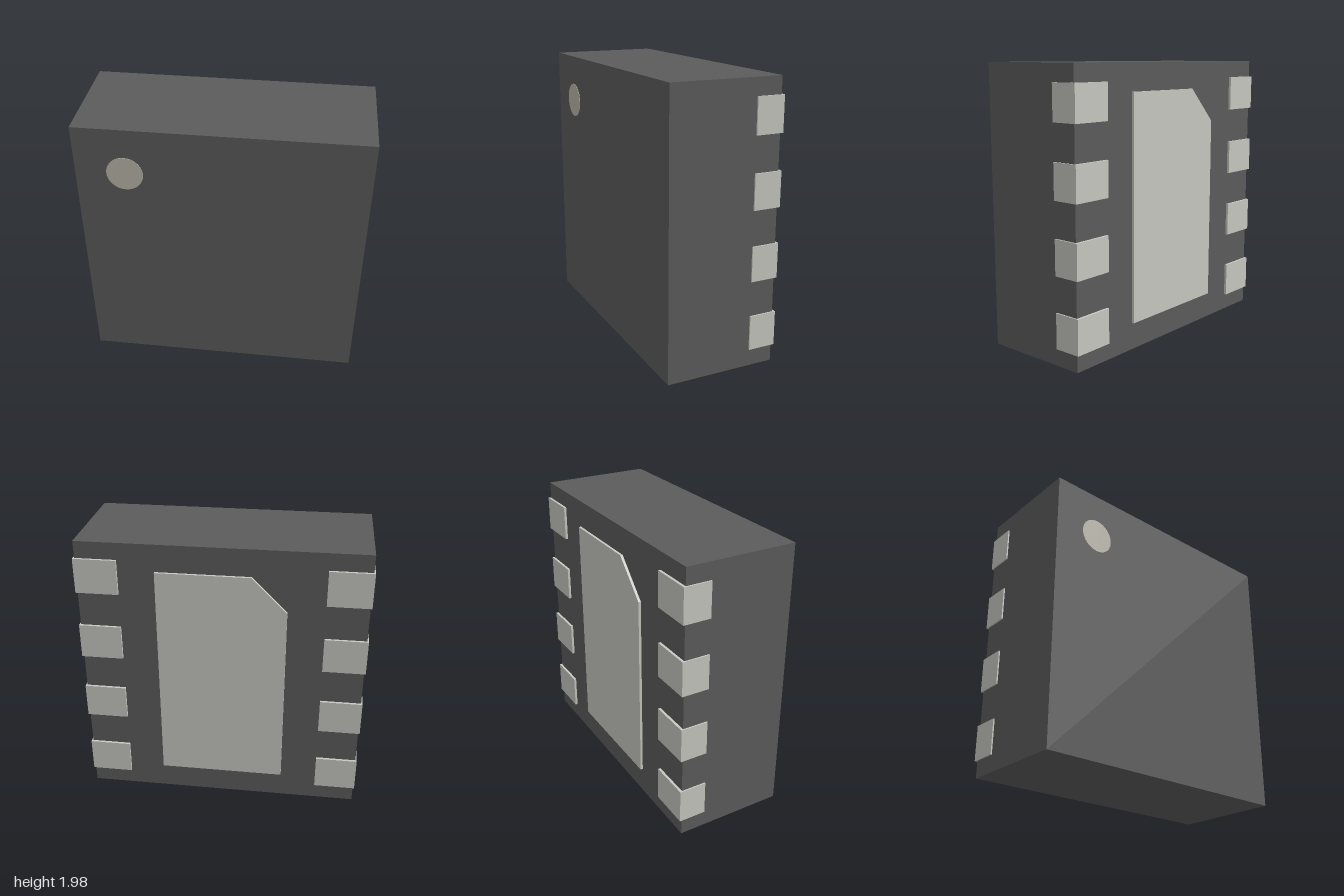
import * as THREE from 'three';

const bodyMat = new THREE.MeshStandardMaterial({ color: 0x5c5c5c });
const metalMat = new THREE.MeshStandardMaterial({ color: 0xc8c8c2 });
const markMat = new THREE.MeshStandardMaterial({ color: 0xb9b6aa });

const BACK = -0.408; // outer plane of the metal contacts

function addMesh(parent, name, geometry, material, x, y, z) {
  const mesh = new THREE.Mesh(geometry, material);
  mesh.name = name;
  mesh.position.set(x, y, z);
  parent.add(mesh);
  return mesh;
}

export function createModel() {
  const model = new THREE.Group();
  model.name = 'chipPackage';

  // Moulded body
  addMesh(model, 'body', new THREE.BoxGeometry(1.98, 1.98, 0.795), bodyMat, 0, 0.99, 0.0075);

  // Round orientation mark, almost flush with the front face
  const mark = addMesh(model, 'orientationMark',
    new THREE.CylinderGeometry(0.125, 0.125, 0.02, 48), markMat, -0.65, 1.645, 0.398);
  mark.rotation.x = Math.PI / 2;

  // Four contacts per side, wrapping the back edges
  const contacts = new THREE.Group();
  contacts.name = 'contacts';
  model.add(contacts);
  const contactGeo = new THREE.BoxGeometry(0.297, 0.248, 0.198);
  for (const side of [-1, 1]) {
    for (let i = 0; i < 4; i++) {
      addMesh(contacts, (side > 0 ? 'leftContact' : 'rightContact') + (i + 1), contactGeo, metalMat,
        side * 0.8515, 0.99 + (i - 1.5) * 0.497, BACK + 0.099);
    }
  }

  // Large back pad with one chamfered corner
  const shape = new THREE.Shape([
    [-0.447, 0.193], [0.447, 0.193], [0.447, 1.787], [-0.203, 1.787], [-0.447, 1.543],
  ].map(([x, y]) => new THREE.Vector2(x, y)));
  addMesh(model, 'backPad',
    new THREE.ExtrudeGeometry(shape, { depth: 0.06, bevelEnabled: false }), metalMat, 0, 0, BACK);

  return model;
}
